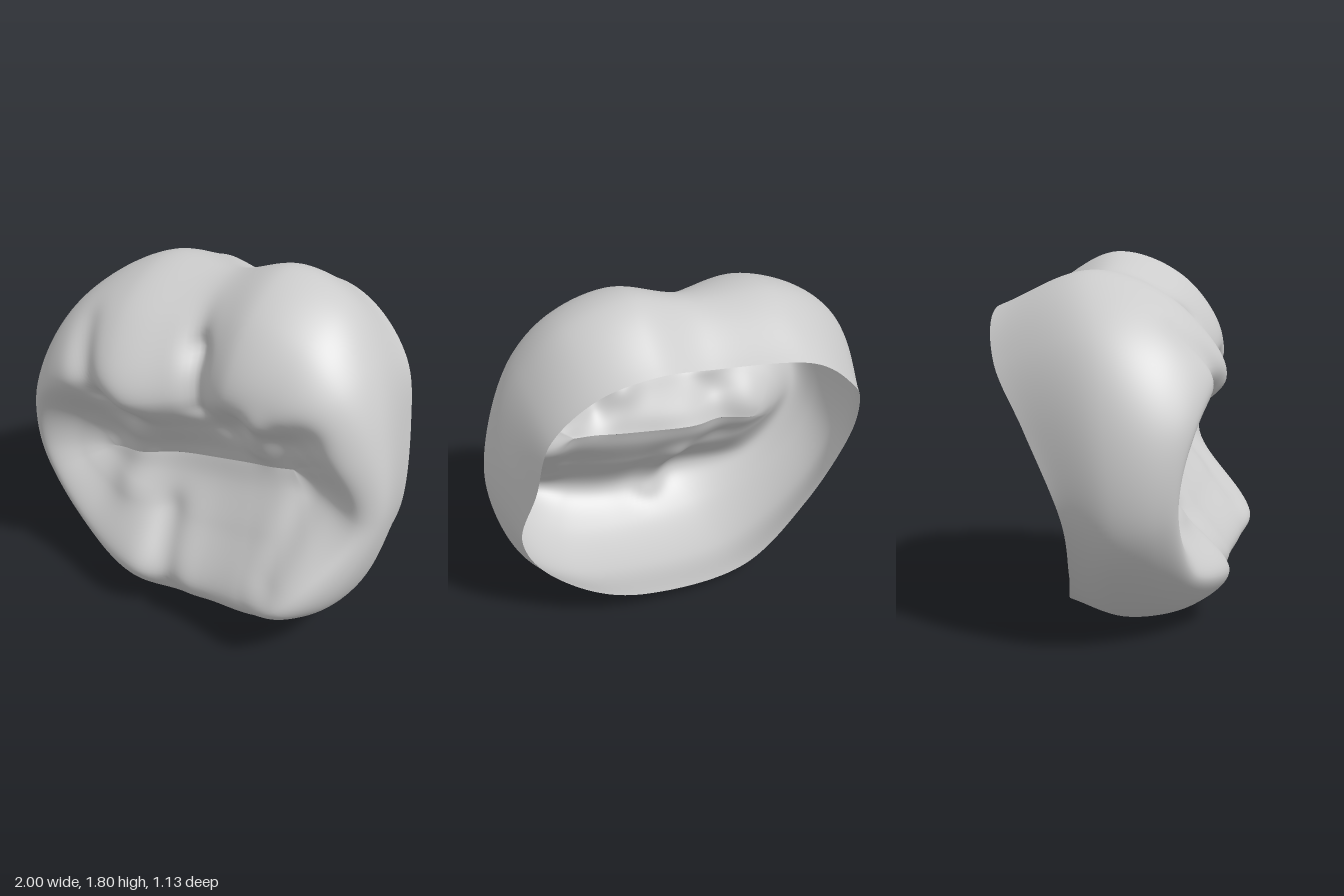
import * as THREE from 'three';

const V = (x, y, z) => new THREE.Vector3(x, y, z);
const loop = (pts) => new THREE.CatmullRomCurve3(pts.map((p) => V(...p)), true, 'centripetal');

// Matching closed loops, counter-clockwise from the +x side
const rim = loop([
  [0.93, 0.63, -0.2], [0.88, 1.02, -0.35], [0.81, 1.32, -0.4], [0.6, 1.53, -0.46], [0.35, 1.6, -0.5],
  [0.05, 1.54, -0.46], [-0.4, 1.52, -0.57], [-0.67, 1.29, -0.5], [-0.85, 1.0, -0.31], [-0.91, 0.62, -0.13],
  [-0.68, 0.31, -0.15], [-0.27, 0.08, -0.24], [0.3, 0.11, -0.27], [0.58, 0.2, -0.24], [0.83, 0.39, -0.18],
]);
const equator = loop([
  [1.0, 0.76, 0.12], [0.95, 1.15, 0.08], [0.82, 1.48, 0], [0.62, 1.7, -0.08], [0.32, 1.79, -0.12],
  [0, 1.7, -0.1], [-0.42, 1.685, -0.12], [-0.8, 1.42, -0.02], [-0.97, 1.03, 0.05], [-0.965, 0.57, 0.1],
  [-0.74, 0.27, 0.06], [-0.28, 0.005, 0.05], [0.34, 0.035, 0.05], [0.63, 0.11, 0.07], [0.87, 0.31, 0.1],
]);
const crest = loop([
  [0.91, 0.76, 0.24], [0.82, 1.06, 0.29], [0.67, 1.24, 0.37], [0.5, 1.3, 0.41], [0.3, 1.32, 0.43],
  [0.08, 1.24, 0.38], [-0.28, 1.19, 0.54], [-0.55, 1.2, 0.51], [-0.8, 1.0, 0.46], [-0.85, 0.65, 0.39],
  [-0.6, 0.33, 0.42], [-0.2, 0.24, 0.54], [0.2, 0.24, 0.5], [0.45, 0.28, 0.53], [0.67, 0.36, 0.56],
]);

// Grooves, pits and ridges: start x,y, end x,y, height, width
const relief = [
  [0, 1.65, 0.06, 1.45, -0.04, 0.07],
  [0.06, 1.45, 0.1, 1.18, -0.05, 0.06],
  [-0.01, 0.2, -0.1, 0.5, -0.05, 0.09],
  [-0.55, 1.45, -0.42, 1.15, -0.05, 0.08],
  [-0.36, 1.1, -0.3, 1.04, -0.07, 0.11],
  [0.22, 1.06, 0.3, 1.16, -0.05, 0.09],
  [0.5, 1.08, 0.66, 1.18, -0.05, 0.1],
  [0.45, 1.2, 0.38, 0.97, 0.04, 0.08],
  [-0.36, 0.6, -0.32, 0.85, 0.05, 0.12],
  [0.58, 0.45, 0.62, 0.78, -0.03, 0.09],
  [-0.65, 0.85, -0.55, 0.85, -0.05, 0.2],
];

function reliefAt(x, y) {
  let h = 0;
  for (const [ax, ay, bx, by, height, width] of relief) {
    const dx = bx - ax, dy = by - ay;
    const t = THREE.MathUtils.clamp(((x - ax) * dx + (y - ay) * dy) / (dx * dx + dy * dy), 0, 1);
    const d = Math.hypot(x - ax - t * dx, y - ay - t * dy) / width;
    h += height * Math.exp(-d * d);
  }
  return h;
}

// Section from the open back rim, over the crest, down to the central groove
function section(u) {
  const r = rim.getPoint(u), e = equator.getPoint(u), c = crest.getPoint(u);
  const between = (a, b, across, depth) => V(
    THREE.MathUtils.lerp(a.x, b.x, across),
    THREE.MathUtils.lerp(a.y, b.y, across),
    THREE.MathUtils.lerp(a.z, b.z, depth));
  const gx = THREE.MathUtils.clamp(c.x * 0.65, -0.52, 0.52);
  const groove = V(gx, 0.79 + 0.19 * gx, 0.16 + (gx < 0 ? 0.25 * gx * gx : 0));
  return new THREE.CatmullRomCurve3([
    r, e, between(e, c, 0.3, 0.65), c,
    between(c, groove, 0.5, 0.52), between(c, groove, 0.82, 0.88), groove,
  ], false, 'centripetal');
}

function crownGeometry(around = 224, across = 78) {
  const position = [], index = [];
  for (let i = 0; i < around; i++) {
    const curve = section(i / around);
    for (let j = 0; j <= across; j++) {
      const v = j / across;
      const p = curve.getPoint(v);
      p.z += reliefAt(p.x, p.y) * THREE.MathUtils.smoothstep(v, 0.2, 0.45);
      position.push(p.x, p.y, p.z);
      if (j === across) continue;
      const a = i * (across + 1) + j;
      const b = ((i + 1) % around) * (across + 1) + j;
      index.push(a, b, a + 1, b, b + 1, a + 1);
    }
  }
  const g = new THREE.BufferGeometry();
  g.setAttribute('position', new THREE.Float32BufferAttribute(position, 3));
  g.setIndex(index);
  g.computeVertexNormals();
  return g;
}

export function createModel() {
  const group = new THREE.Group();
  group.name = 'molarCrown';
  const shell = new THREE.Mesh(
    crownGeometry(),
    new THREE.MeshStandardMaterial({ color: 0xcccccc, side: THREE.DoubleSide }));
  shell.name = 'crownShell';
  group.add(shell);
  return group;
}
